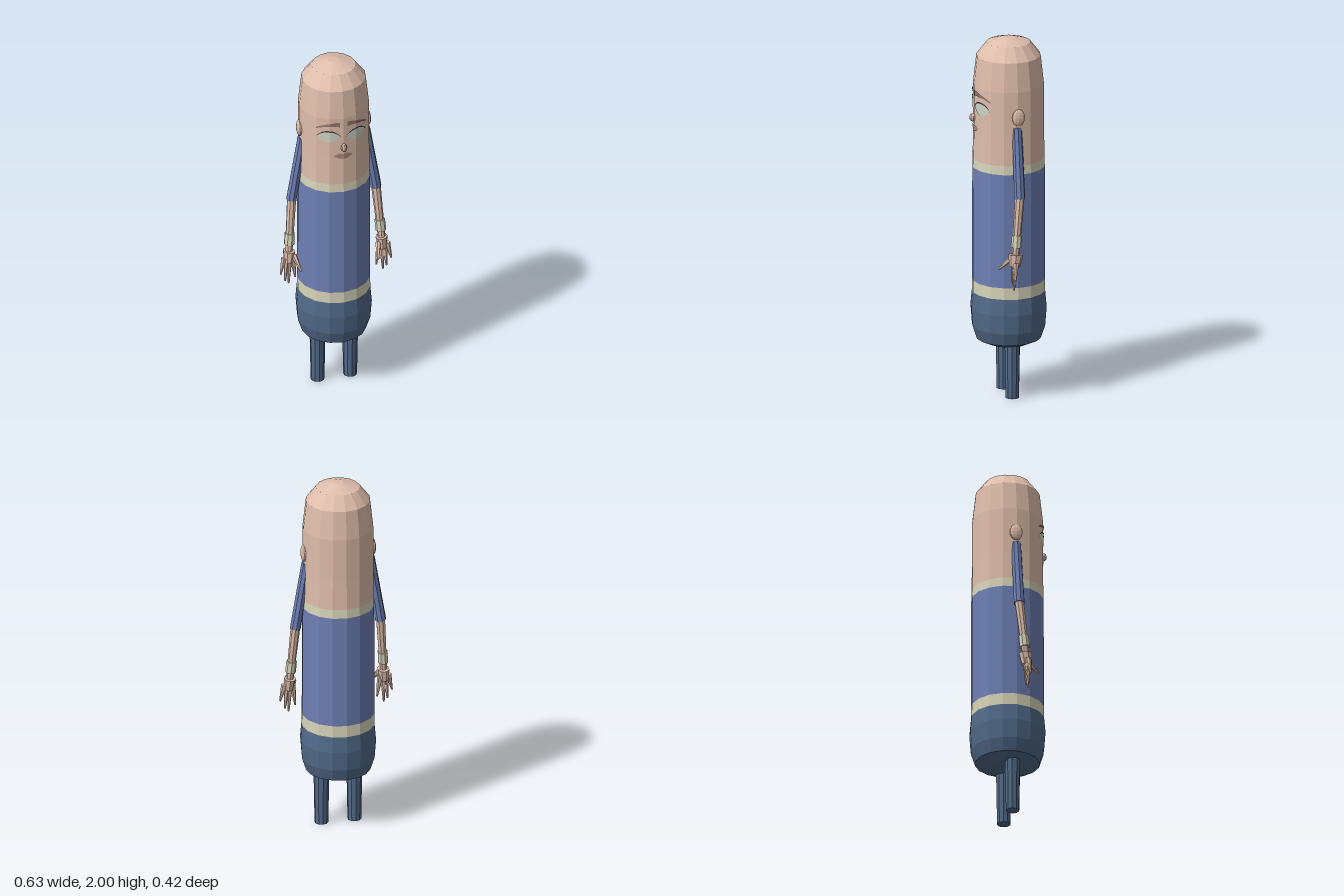
import * as THREE from 'three';

const SIDES = 16, CZ = -0.007, HEAD_R = 0.192;

function material(name, color) {
  const m = new THREE.MeshStandardMaterial({ color, flatShading: true });
  m.name = name;
  return m;
}

// Depth of the faceted head's front at a given x
function headZ(x) {
  const step = (Math.PI * 2) / SIDES, ax = Math.abs(x);
  let i = 0;
  while (HEAD_R * Math.sin((i + 1) * step) < ax) i++;
  const x0 = HEAD_R * Math.sin(i * step), x1 = HEAD_R * Math.sin((i + 1) * step);
  const z0 = HEAD_R * Math.cos(i * step), z1 = HEAD_R * Math.cos((i + 1) * step);
  return CZ + z0 + ((z1 - z0) * (ax - x0)) / (x1 - x0);
}

// Thin face detail wrapped on the head; top and bottom are heights for t = 0..1 along x
function facePatch(x0, x1, top, bottom, lift) {
  const n = 14, pos = [], idx = [];
  for (let i = 0; i <= n; i++) {
    const t = i / n, x = x0 + (x1 - x0) * t, z = headZ(x) + lift;
    pos.push(x, bottom(t), z, x, top(t), z);
    if (i < n) {
      const a = i * 2;
      idx.push(a, a + 2, a + 1, a + 1, a + 2, a + 3);
    }
  }
  const g = new THREE.BufferGeometry();
  g.setAttribute('position', new THREE.Float32BufferAttribute(pos, 3));
  g.setIndex(idx);
  g.computeVertexNormals();
  return g;
}

export function createModel() {
  const root = new THREE.Group();
  const skin = material('skin', 0xdfbeac);
  const shirt = material('shirt blue', 0x6e80b4);
  const trousers = material('trouser blue', 0x526a88);
  const trim = material('cream trim', 0xd8d5ba);
  const pale = material('pale eye', 0xcbd4c2);
  const brown = material('brow brown', 0x94786c);
  const lip = material('lip', 0xa88a7e);
  const lash = material('lash', 0x4a3c38);
  for (const m of [pale, brown, lip, lash]) m.side = THREE.DoubleSide;

  function add(parent, name, geometry, mat, x = 0, y = 0, z = 0) {
    const mesh = new THREE.Mesh(geometry, mat);
    mesh.name = name;
    mesh.position.set(x, y, z);
    parent.add(mesh);
    return mesh;
  }
  function band(name, mat, profile) {
    const pts = profile.map(([r, y]) => new THREE.Vector2(r, y));
    add(root, name, new THREE.LatheGeometry(pts, SIDES), mat, 0, 0, CZ);
  }
  // Tapered limb from a to b
  function limb(parent, name, mat, a, b, ra, rb, sides = 8) {
    const A = new THREE.Vector3(...a), B = new THREE.Vector3(...b);
    const d = B.clone().sub(A);
    const mesh = add(parent, name, new THREE.CylinderGeometry(rb, ra, d.length(), sides), mat);
    mesh.position.copy(A).add(B).multiplyScalar(0.5);
    mesh.quaternion.setFromUnitVectors(new THREE.Vector3(0, 1, 0), d.normalize());
    return mesh;
  }

  // Capsule body in stacked bands
  band('trousers', trousers, [[0, 0.283], [0.11, 0.285], [0.175, 0.315], [0.198, 0.385], [0.206, 0.49], [0.198, 0.58]]);
  band('belt', trim, [[0.198, 0.58], [0.197, 0.645]]);
  band('shirt', shirt, [[0.197, 0.645], [0.196, 1.28]]);
  band('collar', trim, [[0.196, 1.28], [0.194, 1.33]]);
  band('head', skin, [[0.194, 1.33], [HEAD_R, 1.5], [HEAD_R, 1.74], [0.174, 1.9], [0.118, 1.972], [0.03, 2], [0, 2]]);

  // Face
  const arc = (t) => Math.pow(Math.sin(Math.PI * t), 0.7);
  for (const s of [1, -1]) {
    const side = s > 0 ? 'left' : 'right';
    const inner = (t) => (s > 0 ? t : 1 - t); // 0 at the nose, 1 at the temple
    const span = (a, b) => (s > 0 ? [a, b] : [-b, -a]);
    add(root, side + 'Eye', facePatch(...span(0.02, 0.132),
      (t) => 1.628 + 0.034 * arc(t), (t) => 1.628 - 0.034 * arc(t), 0.004), pale);
    add(root, side + 'Lash', facePatch(...span(0.016, 0.136),
      (t) => 1.629 + 0.039 * arc(t), (t) => 1.626 + 0.033 * arc(t), 0.006), lash);
    add(root, side + 'Brow', facePatch(...span(0.02, 0.138),
      (t) => 1.72 - 0.038 * inner(t) ** 2, (t) => 1.69 + 0.03 * inner(t) - 0.046 * inner(t) ** 2, 0.006), brown);
    const ear = add(root, side + 'Ear', new THREE.SphereGeometry(1, 10, 8), skin, s * 0.191, 1.6, -0.01);
    ear.scale.set(0.016, 0.047, 0.036);
  }
  add(root, 'mouth', facePatch(-0.052, 0.052,
    (t) => 1.508 + 0.018 * arc(t) - 0.006 * Math.exp(-(((t - 0.5) * 9) ** 2)),
    (t) => 1.508 - 0.02 * arc(t), 0.004), lip);
  add(root, 'mouthLine', facePatch(-0.035, 0.035,
    () => 1.51, () => 1.507, 0.006), brown);
  const nose = add(root, 'nose', new THREE.SphereGeometry(1, 8, 6), skin, 0, 1.562, 0.192);
  nose.scale.set(0.017, 0.023, 0.019);

  // Arms, hands and legs
  for (const s of [1, -1]) {
    const arm = new THREE.Group();
    arm.name = s > 0 ? 'leftArm' : 'rightArm';
    root.add(arm);
    const at = (x, y, z) => [s * x, y, z];
    limb(arm, 'sleeve', shirt, at(0.175, 1.54, -0.006), at(0.236, 1.16, -0.005), 0.027, 0.03);
    limb(arm, 'forearm', skin, at(0.234, 1.18, -0.006), at(0.26, 0.84, 0.026), 0.026, 0.02);
    limb(arm, 'wristband', trim, at(0.251, 0.96, 0.014), at(0.256, 0.895, 0.02), 0.028, 0.029);
    const palm = limb(arm, 'palm', skin, at(0.258, 0.855, 0.024), at(0.263, 0.79, 0.03), 0.04, 0.03);
    palm.scale.z = 0.8;
    const fingers = [
      [[0.288, 0.815, 0.03], [0.309, 0.72, 0.038]],
      [[0.272, 0.81, 0.03], [0.283, 0.675, 0.036]],
      [[0.258, 0.81, 0.03], [0.263, 0.657, 0.035]],
      [[0.242, 0.815, 0.03], [0.226, 0.69, 0.035]],
    ];
    for (const [a, b] of fingers) limb(arm, 'finger', skin, at(...a), at(...b), 0.017, 0.005, 6);
    limb(arm, 'thumb', skin, at(0.235, 0.83, 0.04), at(0.215, 0.765, 0.108), 0.016, 0.006, 6);

    add(root, s > 0 ? 'leftLeg' : 'rightLeg',
      new THREE.CylinderGeometry(0.043, 0.037, 0.32, 10), trousers, s * 0.091, 0.16, -0.003);
  }
  return root;
}
